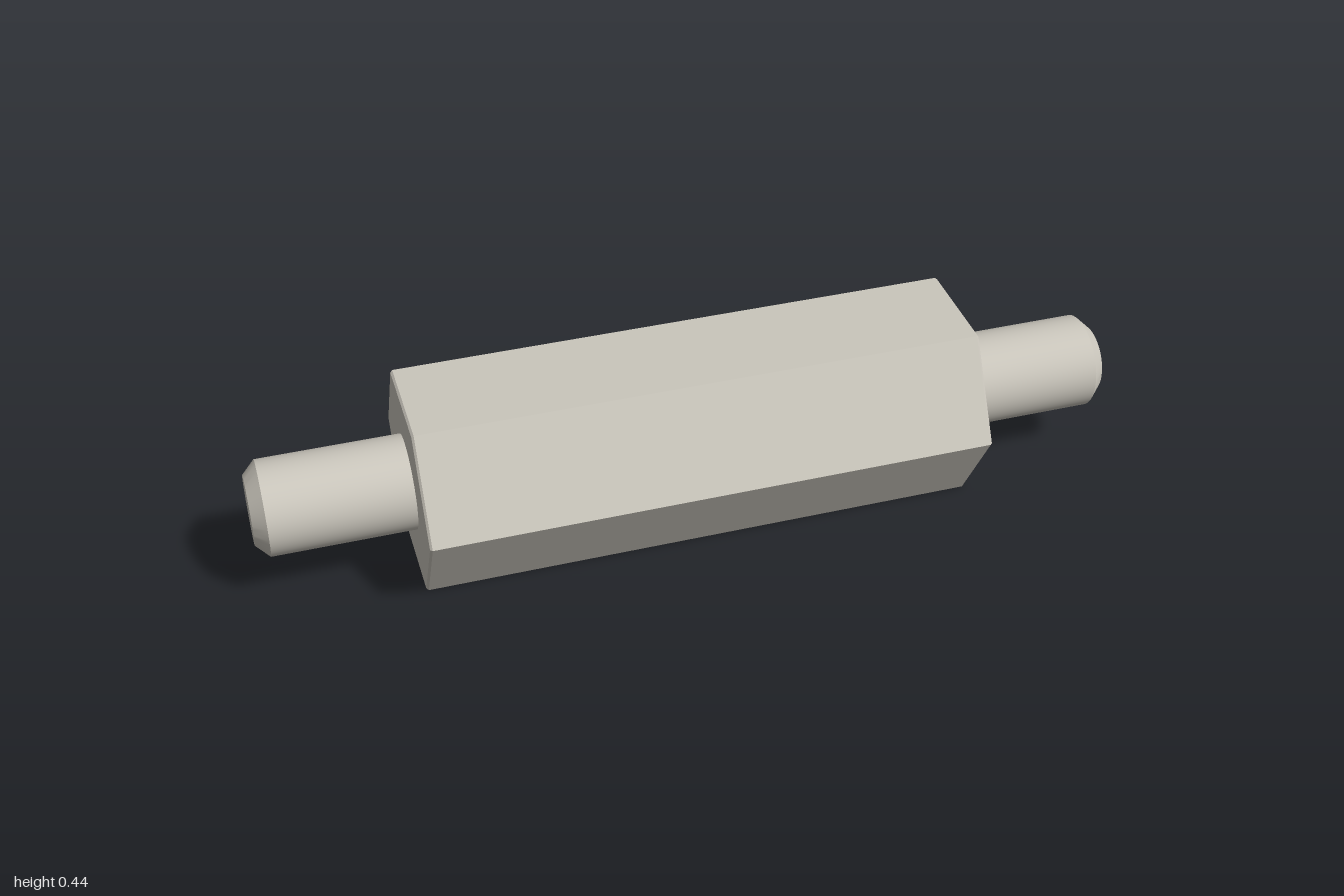
import * as THREE from 'three';
import { toCreasedNormals } from 'three/addons/utils/BufferGeometryUtils.js';

const metal = new THREE.MeshStandardMaterial({ color: 0xcac6bc });
metal.name = 'satin metal';

// Turns a (radius, axial position) profile around the x axis
function turned(name, profile, sides) {
  const points = profile.map(([r, s]) => new THREE.Vector2(r, s));
  const geometry = toCreasedNormals(new THREE.LatheGeometry(points, sides), 0.5);
  geometry.rotateZ(-Math.PI / 2);
  const mesh = new THREE.Mesh(geometry, metal);
  mesh.name = name;
  return mesh;
}

export function createModel() {
  const model = new THREE.Group();
  model.name = 'hexStandoff';

  const apothem = 0.218;
  const hexRadius = apothem / Math.cos(Math.PI / 6);
  const half = 0.651;
  const bevel = 0.005;

  // Hexagonal body with finely bevelled ends
  model.add(turned('hexBody', [
    [0, -half], [hexRadius - bevel, -half], [hexRadius, -half + bevel],
    [hexRadius, half - bevel], [hexRadius - bevel, half], [0, half],
  ], 6));

  // Round stud with a chamfered tip at each end
  for (const side of [1, -1]) {
    const stud = turned(side > 0 ? 'leftStud' : 'rightStud', [
      [0.109, half - 0.01], [0.109, 0.976], [0.079, 1.006], [0, 1.006],
    ], 64);
    if (side < 0) stud.rotation.y = Math.PI;
    model.add(stud);
  }

  // The bar lies flat, turned slightly about the vertical
  model.position.y = apothem;
  model.rotation.y = -THREE.MathUtils.degToRad(12);
  const root = new THREE.Group();
  root.add(model);
  return root;
}
